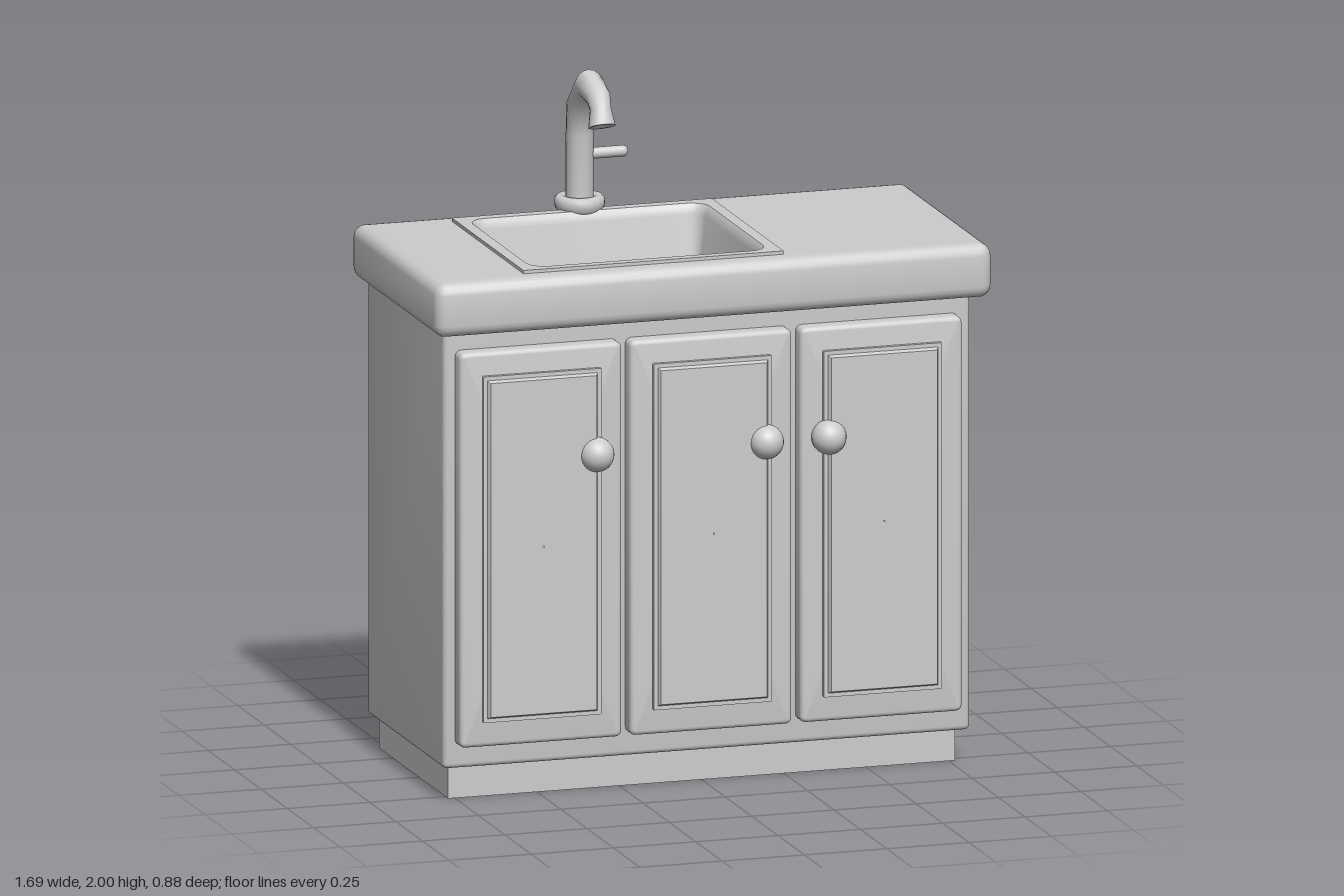
import * as THREE from 'three';
import { toCreasedNormals } from 'three/addons/utils/BufferGeometryUtils.js';

const grey = new THREE.MeshStandardMaterial({ color: 0xcccccc });
grey.name = 'light grey';

// Skins a list of closed rings; creases are found at 100x scale for accuracy
function loft(rings, crease = 0.6) {
  const pos = [];
  for (let i = 0; i < rings.length - 1; i++) {
    const lower = rings[i], upper = rings[i + 1], n = lower.length;
    for (let j = 0; j < n; j++) {
      const k = (j + 1) % n;
      for (const p of [lower[j], lower[k], upper[k], lower[j], upper[k], upper[j]]) {
        pos.push(p[0] * 100, p[1] * 100, p[2] * 100);
      }
    }
  }
  const geo = new THREE.BufferGeometry();
  geo.setAttribute('position', new THREE.Float32BufferAttribute(pos, 3));
  return toCreasedNormals(geo, crease).scale(0.01, 0.01, 0.01);
}

// Horizontal rounded rectangle at height y, inset by d
function rect([x0, x1, z0, z1, r], y, d = 0) {
  const rr = Math.max(r - d, 0.001), pts = [], steps = 4;
  const corners = [[x1 - d - rr, z0 + d + rr], [x0 + d + rr, z0 + d + rr],
    [x0 + d + rr, z1 - d - rr], [x1 - d - rr, z1 - d - rr]];
  corners.forEach(([cx, cz], c) => {
    for (let s = 0; s <= steps; s++) {
      const a = (c + s / steps) * Math.PI / 2;
      pts.push([cx + rr * Math.cos(a), y, cz - rr * Math.sin(a)]);
    }
  });
  return pts;
}

// Quarter-round edge: rings rising at the bottom or top of a slab
function roundEdge(r, y, b, top) {
  const rings = [];
  for (let s = 0; s <= 4; s++) {
    const a = s / 4 * Math.PI / 2;
    rings.push(top
      ? rect(r, y - b + b * Math.sin(a), b * (1 - Math.cos(a)))
      : rect(r, y + b - b * Math.cos(a), b * (1 - Math.sin(a))));
  }
  return rings;
}

const point = (x, y, z) => rect([x - 0.002, x + 0.002, z - 0.002, z + 0.002, 0.001], y);

function addMesh(parent, name, geo, x = 0, y = 0, z = 0) {
  const m = new THREE.Mesh(geo, grey);
  m.name = name;
  m.position.set(x, y, z);
  parent.add(m);
  return m;
}

export function createModel() {
  const model = new THREE.Group();
  model.name = 'sinkCabinet';

  // Plinth and cabinet body
  addMesh(model, 'plinth', new THREE.BoxGeometry(1.54, 0.12, 0.655), 0, 0.06, -0.0525);
  const body = [-0.8, 0.8, -0.4, 0.325, 0.015];
  addMesh(model, 'cabinetBody', loft([
    point(0, 0.1, 0), ...roundEdge(body, 0.1, 0.015, false), rect(body, 1.41),
  ]));

  // Countertop, left open where the sink drops in
  const top = [-0.845, 0.845, -0.415, 0.405, 0.035];
  const rim = [-0.56, 0.23, -0.345, 0.335, 0.002];
  const bowl = [-0.525, 0.195, -0.31, 0.305, 0.055];
  addMesh(model, 'countertop', loft([
    rect(bowl, 1.4, 0.03),
    ...roundEdge(top, 1.4, 0.035, false),
    ...roundEdge(top, 1.56, 0.035, true),
    rect(rim, 1.56),
  ]));

  // Sink: raised rim, sloping bowl, floor with a stepped recess
  const recess = [-0.445, 0.115, -0.23, 0.22, 0.03];
  addMesh(model, 'sink', loft([
    rect(rim, 1.56), rect(rim, 1.57),
    rect(bowl, 1.57), rect(bowl, 1.56, 0.008), rect(bowl, 1.54, 0.014),
    rect(bowl, 1.345, 0.034), rect(bowl, 1.328, 0.039), rect(bowl, 1.32, 0.055),
    rect(recess, 1.32), rect(recess, 1.305, 0.008), rect(recess, 1.305, 0.012),
    rect(recess, 1.29, 0.016), point(-0.165, 1.29, -0.035),
  ]));

  // Drain plug with a small knob
  const drain = [[0.055, 0], [0.055, 0.008], [0.045, 0.014], [0.025, 0.018],
    [0.022, 0.03], [0.014, 0.036], [0, 0.038]];
  addMesh(model, 'drainPlug', new THREE.LatheGeometry(
    drain.map(([r, y]) => new THREE.Vector2(r, y)), 24), -0.165, 1.288, -0.035);

  // Doors with raised panels and round knobs
  const doorShape = [-0.246, 0.246, -0.5875, 0.5875, 0.018];
  const panelShape = [-0.179, 0.179, -0.515, 0.515, 0.002];
  const doorGeo = loft([
    rect(doorShape, 0), ...roundEdge(doorShape, 0.055, 0.014, true), point(0, 0.055, 0),
  ]).rotateX(Math.PI / 2);
  const panelGeo = loft([
    rect(panelShape, 0), rect(panelShape, 0.014), rect(panelShape, 0.014, 0.012),
    rect(panelShape, 0.026, 0.018), point(0, 0.026, 0),
  ]).rotateX(Math.PI / 2);
  const knobGeo = new THREE.SphereGeometry(0.051, 24, 16);
  [[-0.519, -0.355], [-0.002, 0.16], [0.515, 0.35]].forEach(([x, knobX], i) => {
    const door = new THREE.Group();
    door.name = ['rightDoor', 'middleDoor', 'leftDoor'][i];
    addMesh(door, 'doorSlab', doorGeo, x, 0.7575, 0.32);
    addMesh(door, 'doorPanel', panelGeo, x, 0.76, 0.374);
    addMesh(door, 'doorKnob', knobGeo, knobX, 1.02, 0.39);
    model.add(door);
  });

  // Tap: rounded base, hooked spout and side lever
  const tap = new THREE.Group();
  tap.name = 'tap';
  tap.position.x = -0.165;
  model.add(tap);
  const base = [[0, 0], [0.064, 0], [0.07, 0.008], [0.074, 0.022], [0.073, 0.036],
    [0.066, 0.045], [0.05, 0.046], [0.04, 0.04]];
  addMesh(tap, 'tapBase', new THREE.LatheGeometry(
    base.map(([r, y]) => new THREE.Vector2(r, y)), 24), 0, 1.56, -0.367);

  // Spout stations: z, y, radius
  const path = [[-0.367, 1.57, 0.04], [-0.367, 1.79, 0.04], [-0.35, 1.878, 0.043],
    [-0.27, 1.955, 0.044], [-0.188, 1.935, 0.036], [-0.168, 1.905, 0.031], [-0.155, 1.856, 0.04]];
  const ring = ([z, y, r], tz, ty) => Array.from({ length: 16 }, (_, j) => {
    const a = j / 16 * Math.PI * 2;
    return [r * Math.cos(a), y + r * Math.sin(a) * tz, z - r * Math.sin(a) * ty];
  });
  const spout = path.map((p, i) => {
    const a = path[Math.max(i - 1, 0)], b = path[Math.min(i + 1, path.length - 1)];
    const t = new THREE.Vector2(b[0] - a[0], b[1] - a[1]).normalize();
    if (i === path.length - 1) t.set(0.4, -0.917);
    return ring(p, t.x, t.y);
  });
  spout.push(ring([-0.155, 1.856, 0.03], 0.4, -0.917));
  spout.push(ring([-0.162, 1.874, 0.001], 0.4, -0.917));
  addMesh(tap, 'tapSpout', loft(spout, 0.9));

  const lever = addMesh(tap, 'tapLever', new THREE.CapsuleGeometry(0.017, 0.1, 6, 14), 0.08, 1.726, -0.367);
  lever.rotation.z = Math.PI / 2;

  return model;
}
